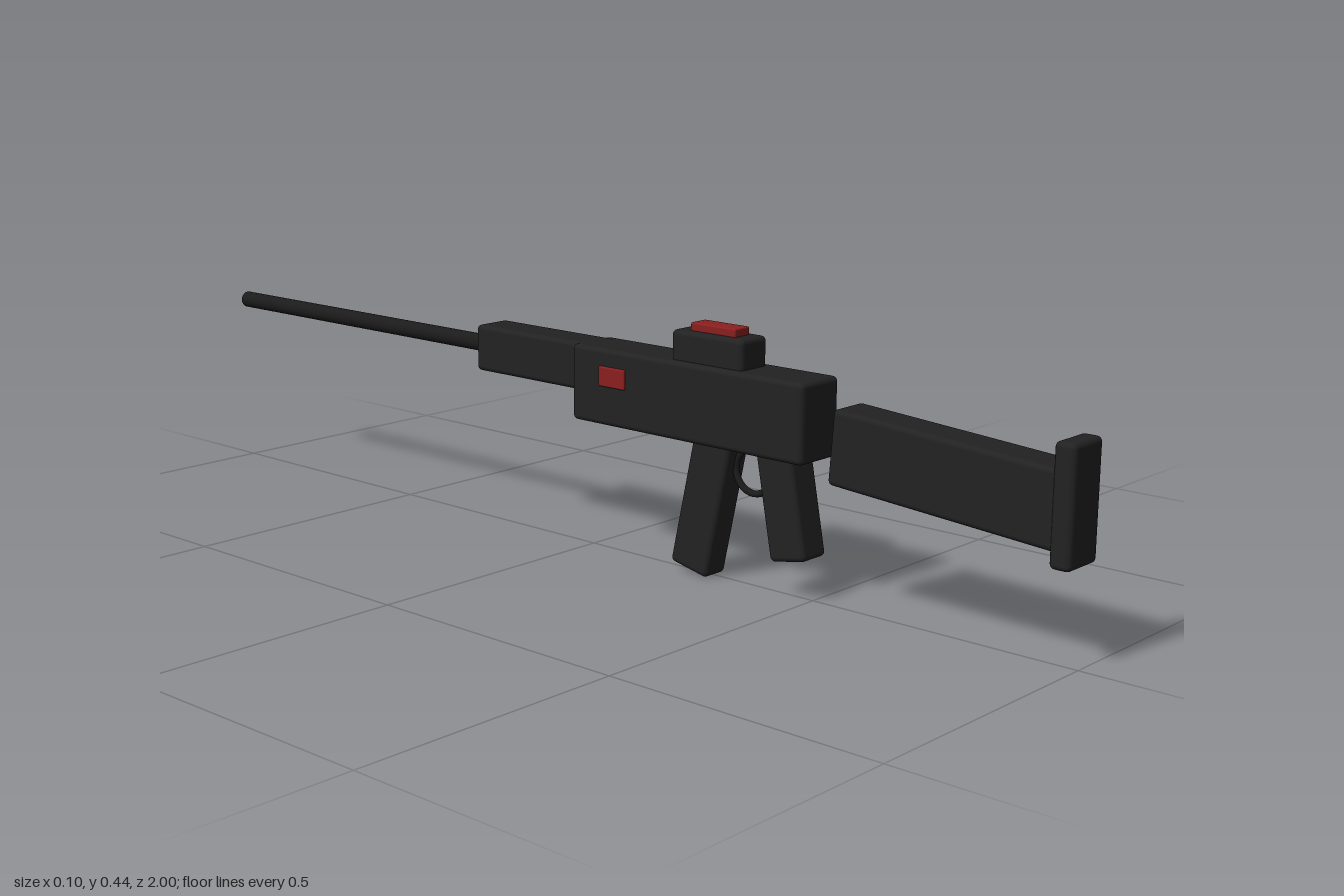
import * as THREE from 'three';
import { RoundedBoxGeometry } from 'three/addons/geometries/RoundedBoxGeometry.js';

export function createModel() {
  const group = new THREE.Group();
  const material = (name, color) => {
    const m = new THREE.MeshStandardMaterial({ color });
    m.name = name;
    return m;
  };
  const body = material('charcoal', 0x222222);
  const metal = material('black metal', 0x1b1b1b);
  const red = material('dark red', 0x8b1f1f);

  const add = (name, geometry, mat, position, tilt = 0) => {
    const mesh = new THREE.Mesh(geometry, mat);
    mesh.name = name;
    mesh.position.set(...position);
    mesh.rotation.x = tilt;
    group.add(mesh);
    return mesh;
  };
  // Softly bevelled block: size and centre, tilted in the side plane
  const block = (name, [w, h, d], position, mat = body, tilt = 0, radius = 0.009) =>
    add(name, new RoundedBoxGeometry(w, h, d, 3, radius), mat, position, tilt);

  // Main body, running from back (+z) to muzzle (-z)
  block('receiver', [0.098, 0.137, 0.514], [0, 0.313, 0.249]);
  block('handguard', [0.076, 0.086, 0.29], [0, 0.339, -0.12]);
  const barrel = new THREE.CylinderGeometry(0.016, 0.016, 0.76, 24);
  barrel.rotateX(Math.PI / 2);
  add('barrel', barrel, metal, [0, 0.34, -0.62]);

  // Stock, set apart from the receiver and dropping towards the back
  block('stock', [0.076, 0.128, 0.43], [0, 0.269, 0.768], body, 0.07);
  block('buttPlate', [0.082, 0.197, 0.037], [0, 0.264, 0.981], body);

  // Grip and magazine leaning apart, with the ring between them
  block('grip', [0.063, 0.22, 0.074], [0, 0.179, 0.446], body, -0.19);
  block('magazine', [0.054, 0.27, 0.083], [0, 0.144, 0.275], body, 0.21);
  const guard = new THREE.TorusGeometry(0.039, 0.006, 12, 32);
  guard.rotateY(Math.PI / 2);
  add('triggerGuard', guard, metal, [0, 0.205, 0.37]);

  // Sight and red accents
  block('sightBase', [0.068, 0.07, 0.156], [0, 0.398, 0.289]);
  block('sightTop', [0.038, 0.03, 0.098], [0, 0.432, 0.291], red, 0, 0.003);
  for (const side of [1, -1]) {
    block(side > 0 ? 'leftButton' : 'rightButton', [0.009, 0.036, 0.062],
      [side * 0.048, 0.333, 0.089], red, 0, 0.003);
  }
  return group;
}
